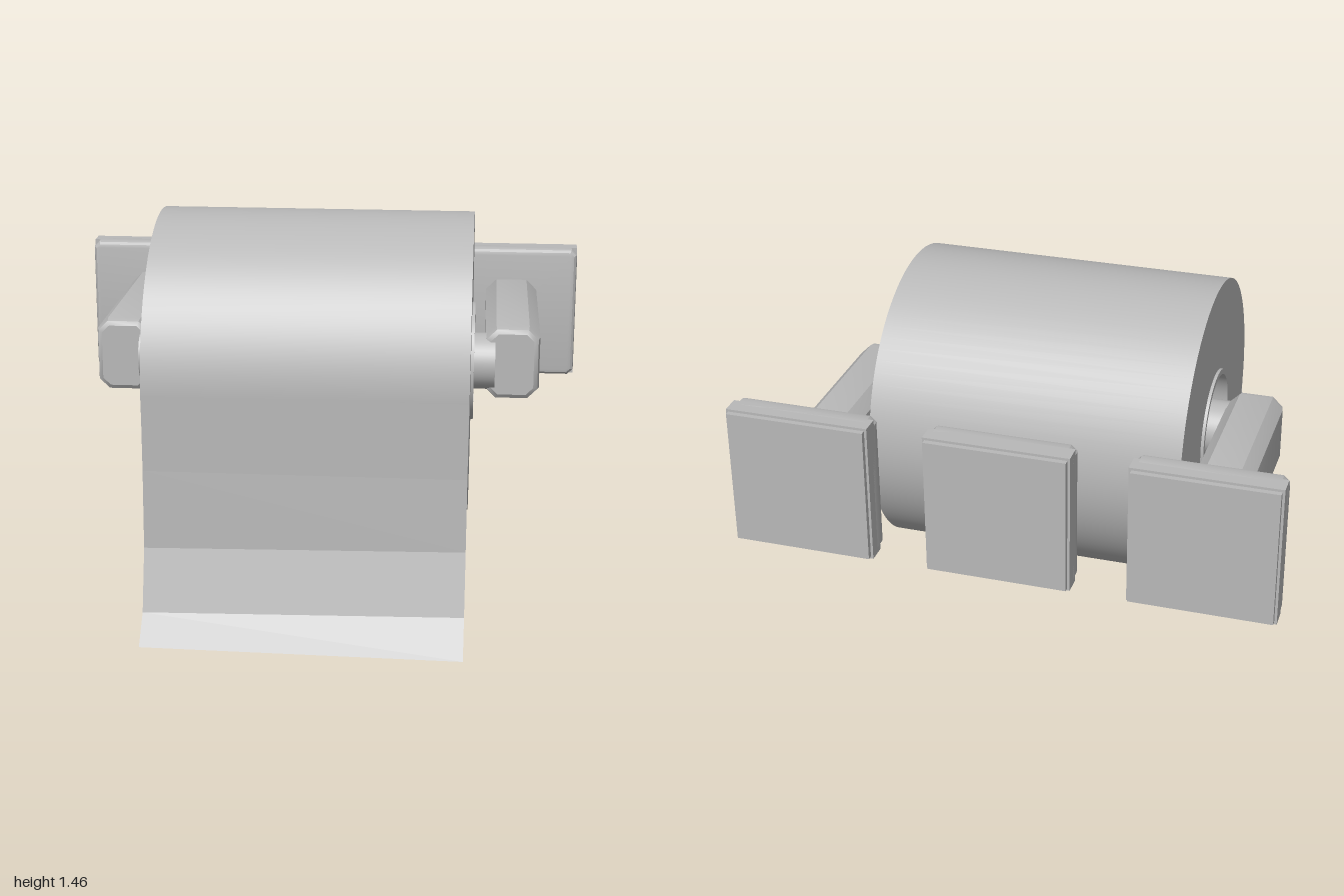
import * as THREE from 'three';
import { toCreasedNormals } from 'three/addons/utils/BufferGeometryUtils.js';

const AXIS_Y = 0.9, AXIS_Z = 0.067;
const grey = new THREE.MeshStandardMaterial({ color: 0xb8b8b8 });
grey.name = 'grey';
const greySheet = grey.clone();
greySheet.name = 'greySheet';
greySheet.side = THREE.DoubleSide;

function add(parent, name, geometry, x = 0, y = 0, z = 0, material = grey) {
  const mesh = new THREE.Mesh(geometry, material);
  mesh.name = name;
  mesh.position.set(x, y, z);
  parent.add(mesh);
  return mesh;
}

// Rectangle with cut corners, extruded from z0 to z1 with bevelled ends
function cutBlock(w, h, cut, z0, z1, inset, depth, segments) {
  const a = w / 2 - inset, b = h / 2 - inset;
  const shape = new THREE.Shape([
    [a - cut, -b], [a, -b + cut], [a, b - cut], [a - cut, b],
    [-a + cut, b], [-a, b - cut], [-a, -b + cut], [-a + cut, -b],
  ].map(([x, y]) => new THREE.Vector2(x, y)));
  const geo = new THREE.ExtrudeGeometry(shape, {
    depth: z1 - z0 - 2 * depth, bevelEnabled: true,
    bevelSize: inset, bevelThickness: depth, bevelSegments: segments,
  });
  geo.translate(0, 0, z0 + depth);
  return toCreasedNormals(geo, 0.5);
}

// Hollow cylinder lying along x
function hollowCylinder(outer, inner, length) {
  const shape = new THREE.Shape().absarc(0, 0, outer, 0, Math.PI * 2, false);
  shape.holes.push(new THREE.Path().absarc(0, 0, inner, 0, Math.PI * 2, true));
  const geo = new THREE.ExtrudeGeometry(shape, { depth: length, bevelEnabled: false, curveSegments: 40 });
  geo.translate(0, 0, -length / 2);
  geo.rotateY(Math.PI / 2);
  return toCreasedNormals(geo, 0.5);
}

// Wall plate, arm and set screw
function createBracket(name, x, armEnd) {
  const bracket = new THREE.Group();
  bracket.name = name;
  bracket.position.x = x;
  add(bracket, 'wallPlateFront', cutBlock(0.53, 0.53, 0.008, -0.76, -0.665, 0.025, 0.025, 3), 0, AXIS_Y + 0.003, 0);
  add(bracket, 'wallPlateRim', new THREE.BoxGeometry(0.53, 0.53, 0.07), 0, AXIS_Y + 0.003, -0.745);
  add(bracket, 'wallPlateBack', new THREE.BoxGeometry(0.512, 0.512, 0.04), 0, AXIS_Y + 0.003, -0.78);
  add(bracket, 'arm', cutBlock(0.205, 0.277, 0.028, -0.72, armEnd, 0.022, 0.04, 2), 0, AXIS_Y + 0.003, 0);
  add(bracket, 'setScrew', new THREE.CylinderGeometry(0.02, 0.02, 0.02, 16), 0, 0.639, -0.70);
  return bracket;
}

// Hanging paper: each row is [z left, y left, z right, y right]
function createSheet() {
  const rows = [
    [0.627, 0.9, 0.627, 0.9], [0.626, 0.62, 0.626, 0.62],
    [0.637, 0.35, 0.638, 0.33], [0.70, 0.125, 0.703, 0.105], [0.8, 0, 0.797, 0.01],
  ];
  const points = [], index = [];
  rows.forEach(([zl, yl, zr, yr], i) => {
    points.push(-0.58, yr, zr, 0.58, yl, zl);
    const k = i * 2;
    if (i < rows.length - 1) index.push(k, k + 2, k + 3, k, k + 3, k + 1);
  });
  const geo = new THREE.BufferGeometry();
  geo.setAttribute('position', new THREE.Float32BufferAttribute(points, 3));
  geo.setIndex(index);
  const flat = geo.toNonIndexed();
  flat.computeVertexNormals();
  return flat;
}

export function createModel() {
  const model = new THREE.Group();
  model.name = 'paperRollHolder';

  // Brackets: two long arms at the sides, a short one behind the roll
  for (const [side, s] of [['left', 1], ['right', -1]]) {
    model.add(createBracket(side + 'Bracket', s * 0.734, 0.122));
  }
  model.add(createBracket('middleBracket', 0, -0.38));

  // Spindle between the arms
  const spindle = new THREE.CylinderGeometry(0.106, 0.106, 1.34, 40);
  spindle.rotateZ(Math.PI / 2);
  add(model, 'spindle', spindle, 0, AXIS_Y, 0.062);

  // Paper roll with its core and loose end
  add(model, 'paperRoll', hollowCylinder(0.56, 0.219, 1.162), 0, AXIS_Y, AXIS_Z);
  add(model, 'cardboardCore', hollowCylinder(0.22, 0.2, 1.184), 0, AXIS_Y, AXIS_Z);
  add(model, 'hangingSheet', createSheet(), 0, 0, 0, greySheet);

  return model;
}
